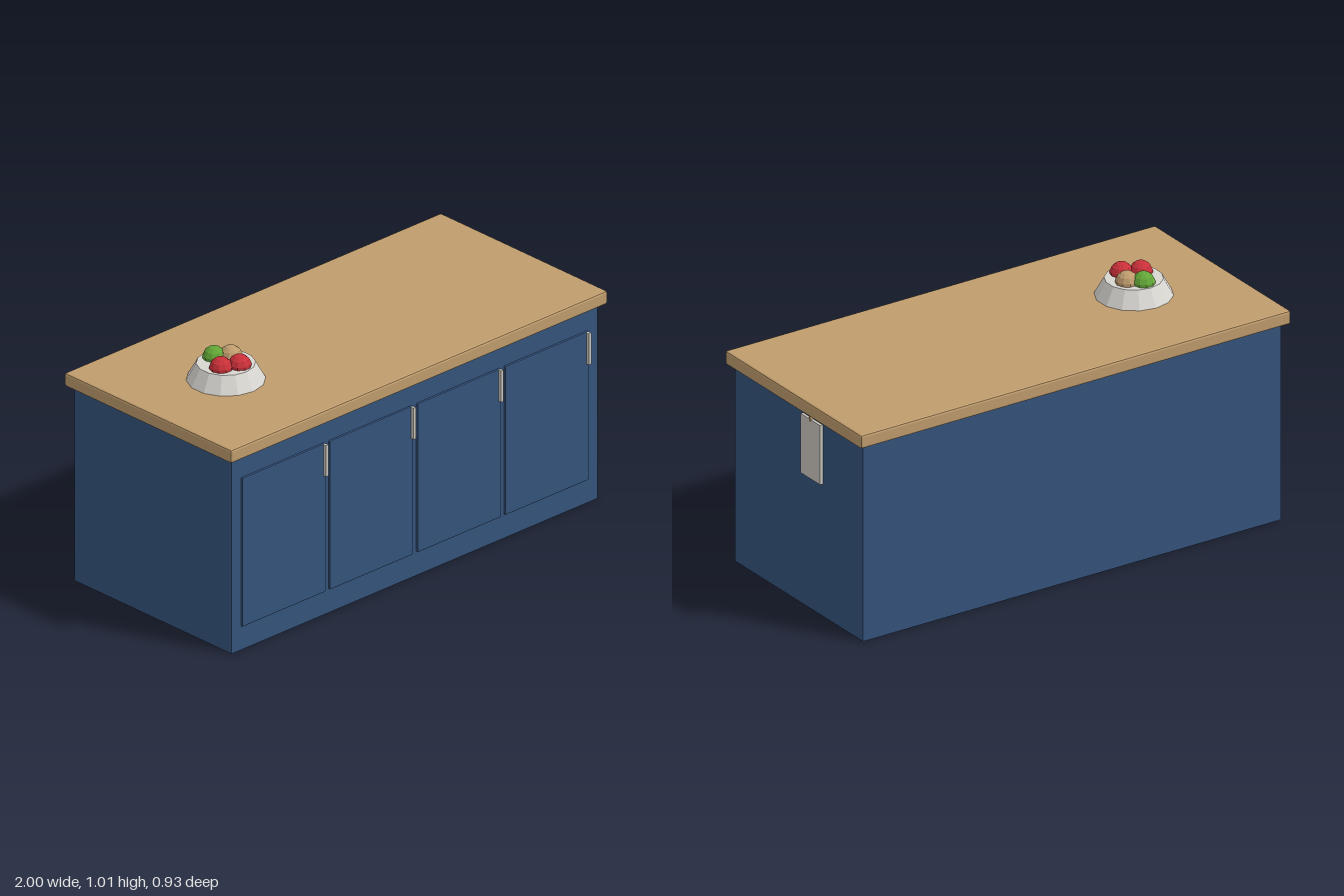
import * as THREE from 'three';
import { RoundedBoxGeometry } from 'three/addons/geometries/RoundedBoxGeometry.js';

const material = (name, color) => {
  const m = new THREE.MeshStandardMaterial({ color });
  m.name = name;
  return m;
};

// Faceted normals for any geometry
const faceted = (g) => {
  const f = g.index ? g.toNonIndexed() : g;
  f.computeVertexNormals();
  return f;
};

export function createModel() {
  const group = new THREE.Group();
  const blue = material('blue paint', 0x35537c);
  const wood = material('wood', 0xbf9c6d);
  const metal = material('pale metal', 0xcac6be);
  const ceramic = material('ceramic', 0xd9d7d2);
  const red = material('red fruit', 0xc93039);
  const green = material('green fruit', 0x62a637);

  const add = (name, geometry, mat, x, y, z) => {
    const mesh = new THREE.Mesh(geometry, mat);
    mesh.name = name;
    mesh.position.set(x, y, z);
    group.add(mesh);
    return mesh;
  };
  const box = (w, h, d) => new THREE.BoxGeometry(w, h, d);
  const chamferBox = (w, h, d, r) => faceted(new RoundedBoxGeometry(w, h, d, 1, r));

  // Cabinet and worktop
  add('cabinet', box(1.942, 0.838, 0.874), blue, 0, 0.419, 0);
  add('worktop', chamferBox(2, 0.057, 0.93, 0.009), wood, 0, 0.8635, 0);

  // Four doors, each with an upright handle near its right edge
  for (let i = 0; i < 4; i++) {
    const x = -0.7 + i * 0.4655;
    add('door', chamferBox(0.444, 0.638, 0.016, 0.005), blue, x, 0.42, 0.438);
    add('handle', box(0.013, 0.134, 0.015), metal, x + 0.214, 0.671, 0.4525);
  }

  // Towel hanging from a small hook on the end panel
  add('towel', box(0.012, 0.252, 0.134), metal, 0.979, 0.689, -0.097);
  add('towelHook', box(0.016, 0.022, 0.008), wood, 0.979, 0.818, -0.095);

  // Low bowl, wide at the foot
  add('bowl', faceted(new THREE.CylinderGeometry(0.115, 0.155, 0.072, 14)), ceramic, -0.585, 0.926, 0);

  // Fruit resting in the bowl
  const fruit = faceted(new THREE.SphereGeometry(0.047, 10, 7));
  for (const [name, mat, x, z] of [
    ['redApple', red, -0.635, 0.025],
    ['redApple', red, -0.567, 0.058],
    ['pear', wood, -0.538, -0.022],
    ['greenApple', green, -0.588, -0.062],
  ]) add(name, fruit, mat, x, 0.963, z);

  return group;
}
